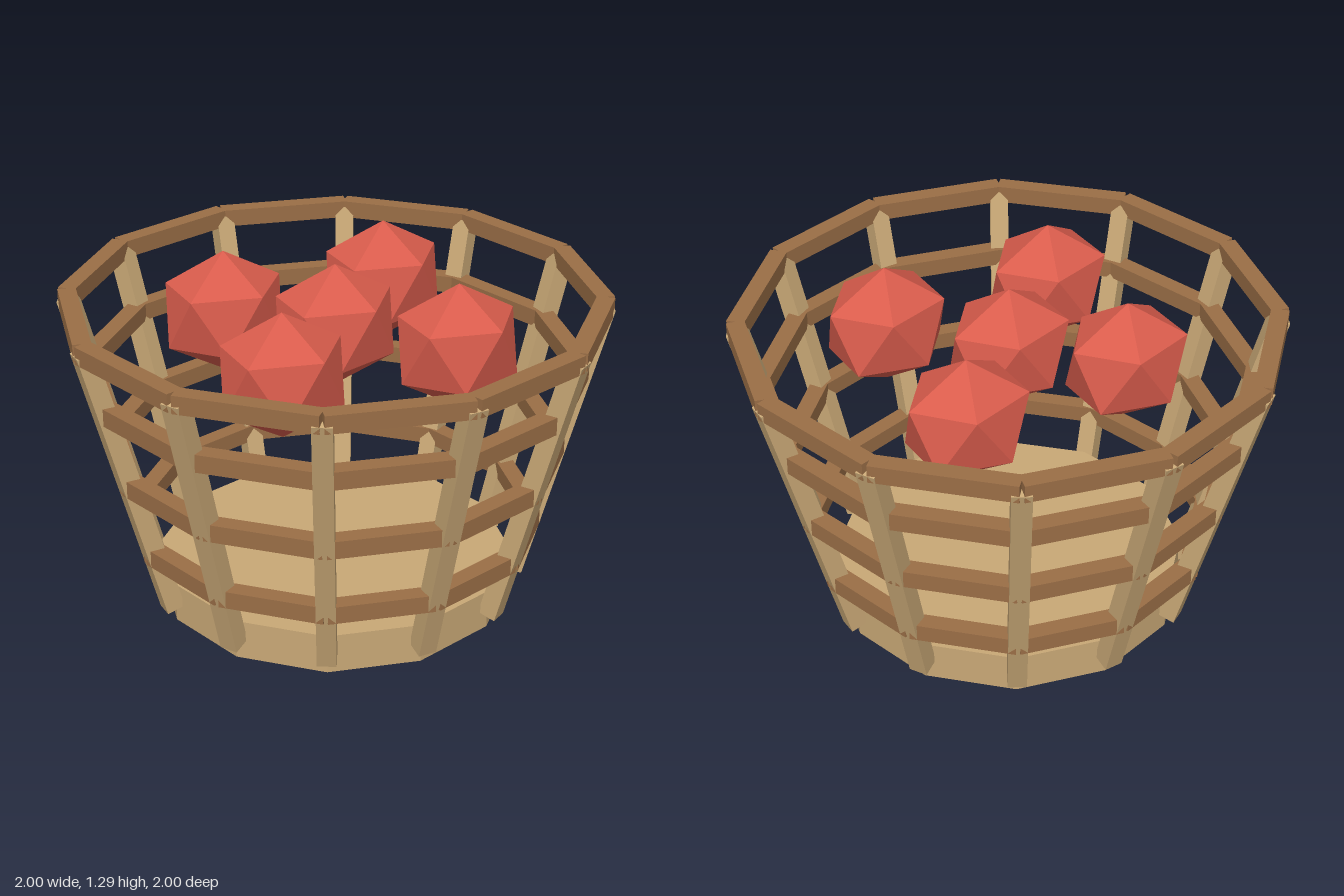
import * as THREE from 'three';

const SIDES = 12;

function material(name, color) {
  const m = new THREE.MeshStandardMaterial({ color, flatShading: true });
  m.name = name;
  return m;
}

function addMesh(parent, name, geometry, mat) {
  const mesh = new THREE.Mesh(geometry, mat);
  mesh.name = name;
  parent.add(mesh);
  return mesh;
}

export function createModel() {
  const basket = new THREE.Group();
  basket.name = 'fruitBasket';
  const paleWood = material('paleWood', 0xc9a876);
  const darkWood = material('darkWood', 0x9a6e46);
  const red = material('red', 0xd95c4c);

  // Twelve-sided floor
  const base = addMesh(basket, 'base', new THREE.CylinderGeometry(0.66, 0.66, 0.15, SIDES), paleWood);
  base.position.y = 0.075;

  // Upright staves, leaning outward from the floor to the rim
  const bottom = new THREE.Vector2(0.675, 0.065);
  const top = new THREE.Vector2(0.966, 1.15);
  const lean = Math.atan2(top.x - bottom.x, top.y - bottom.y);
  const staveGeometry = new THREE.BoxGeometry(0.07, bottom.distanceTo(top), 0.07);
  staveGeometry.rotateX(lean);
  staveGeometry.translate(0, (bottom.y + top.y) / 2, (bottom.x + top.x) / 2);
  const staves = new THREE.Group();
  staves.name = 'staves';
  basket.add(staves);
  for (let i = 0; i < SIDES; i++) {
    addMesh(staves, 'stave', staveGeometry, paleWood).rotation.y = (i / SIDES) * Math.PI * 2;
  }

  // Horizontal hoops of straight slats: [name, height, radius at the staves]
  const hoops = [
    ['lowerHoop', 0.303, 0.742],
    ['middleHoop', 0.606, 0.82],
    ['upperHoop', 0.907, 0.894],
    ['rim', 1.149, 0.967],
  ];
  const half = Math.PI / SIDES;
  for (const [name, y, radius] of hoops) {
    const hoop = new THREE.Group();
    hoop.name = name;
    hoop.position.y = y;
    basket.add(hoop);
    const slat = new THREE.BoxGeometry(2 * radius * Math.sin(half), 0.066, 0.066);
    slat.translate(0, 0, radius * Math.cos(half));
    for (let i = 0; i < SIDES; i++) {
      addMesh(hoop, 'slat', slat, darkWood).rotation.y = (2 * i + 1) * half;
    }
  }

  // Faceted fruit, each standing on one point
  const fruitGeometry = new THREE.IcosahedronGeometry(1, 0);
  fruitGeometry.rotateZ(-Math.atan(1 / ((1 + Math.sqrt(5)) / 2)));
  fruitGeometry.scale(0.251, 0.235, 0.213);
  fruitGeometry.computeVertexNormals();
  const fruits = new THREE.Group();
  fruits.name = 'fruits';
  basket.add(fruits);
  for (const [x, z] of [[0, 0], [-0.36, 0.3], [0.3, 0.36], [-0.3, -0.3], [0.36, -0.3]]) {
    addMesh(fruits, 'fruit', fruitGeometry, red).position.set(x, 1.057, z);
  }

  return basket;
}
